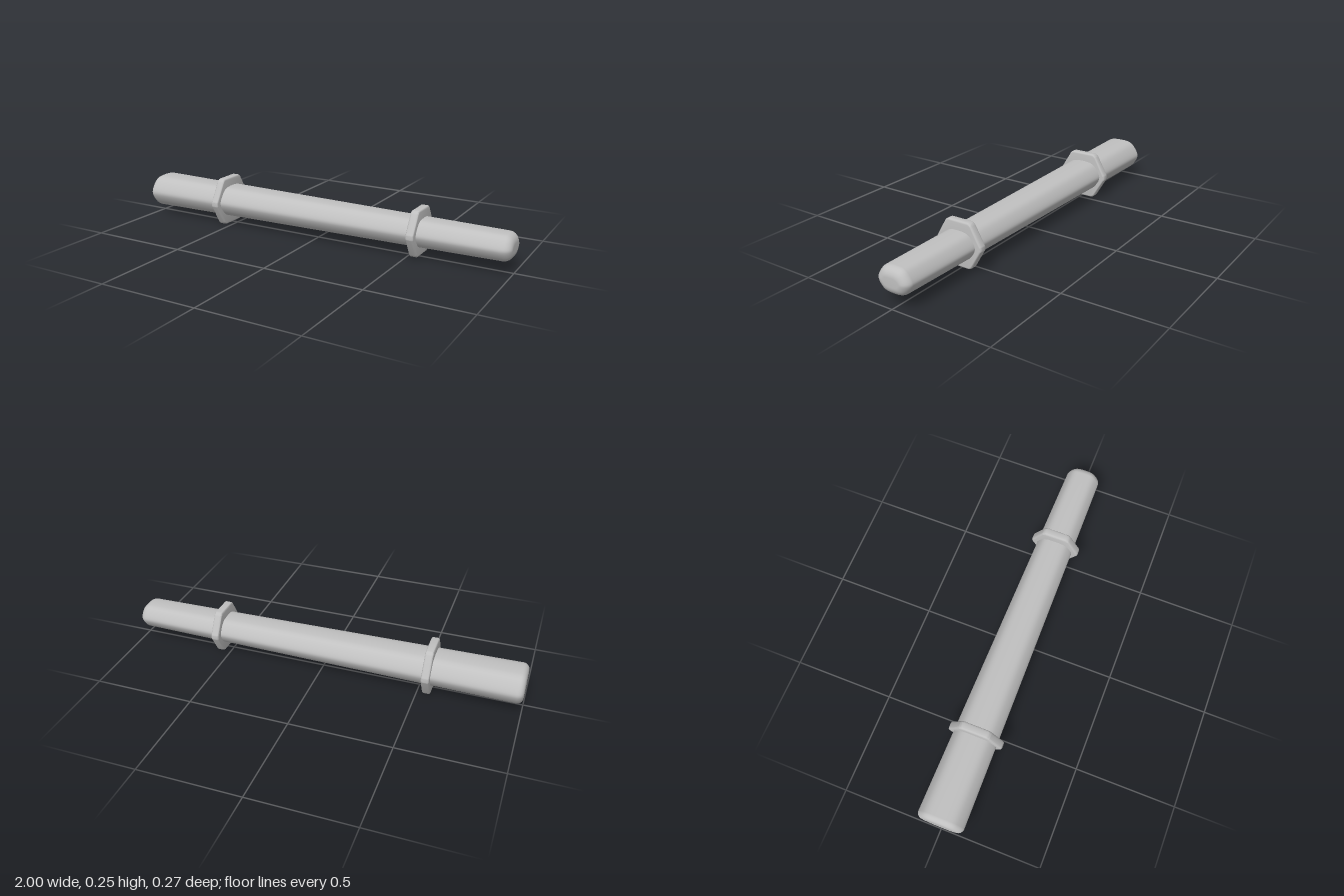
import * as THREE from 'three';
import { toCreasedNormals } from 'three/addons/utils/BufferGeometryUtils.js';

const MID_Y = 0.123;

// Tapered bar: a rounded hexagonal section swept along x, with rounded ends
function barGeometry() {
  const quarter = [[1, 0.13], [0.83, 0.57], [0.62, 0.87], [0.36, 1]];
  const flip = (sz, sy) => quarter.map(([z, y]) => new THREE.Vector3(z * sz, y * sy, 0));
  const outline = [...flip(1, 1), ...flip(-1, 1).reverse(), ...flip(-1, -1), ...flip(1, -1).reverse()];
  const n = 64;
  const section = new THREE.CatmullRomCurve3(outline, true).getPoints(n).slice(0, n);

  // Each station is [x, inset from the full section]
  const stations = [];
  const steps = 8, leftR = 0.03, rightR = 0.042;
  for (let i = 0; i <= steps; i++) {
    const a = (i / steps) * Math.PI / 2;
    stations.push([-1 + leftR * (1 - Math.sin(a)), leftR * (1 - Math.cos(a))]);
  }
  stations.reverse();
  stations.forEach((s, i) => { s[1] = leftR * (1 - Math.cos((1 - i / steps) * Math.PI / 2)); });
  stations.length = 0;
  for (let i = 0; i <= steps; i++) {
    const a = (i / steps) * Math.PI / 2;
    stations.push([-1 + leftR * (1 - Math.cos(a)), leftR * (1 - Math.sin(a))]);
  }
  for (let i = 1; i < 8; i++) stations.push([-0.97 + i * 0.24, 0]);
  for (let i = 0; i <= steps; i++) {
    const a = (i / steps) * Math.PI / 2;
    stations.push([1 - rightR * (1 - Math.sin(a)), rightR * (1 - Math.cos(a))]);
  }

  const pos = [], index = [];
  for (const [x, inset] of stations) {
    const t = (x + 1) / 2;
    const hy = THREE.MathUtils.lerp(0.081, 0.062, t) - inset;
    const hz = THREE.MathUtils.lerp(0.114, 0.086, t) - inset;
    for (const p of section) pos.push(x, MID_Y + p.y * hy, p.x * hz);
  }
  for (let i = 0; i < stations.length - 1; i++) {
    for (let j = 0; j < n; j++) {
      const a = i * n + j, b = i * n + (j + 1) % n;
      index.push(a, a + n, b, b, a + n, b + n);
    }
  }
  // Flat end caps
  const last = (stations.length - 1) * n, c = stations.length * n;
  pos.push(-1, MID_Y, 0, 1, MID_Y, 0);
  for (let j = 0; j < n; j++) {
    const k = (j + 1) % n;
    index.push(c, j, k, c + 1, last + k, last + j);
  }
  const g = new THREE.BufferGeometry();
  g.setAttribute('position', new THREE.Float32BufferAttribute(pos, 3));
  g.setIndex(index);
  g.computeVertexNormals();
  return g;
}

// Hexagonal collar with softened corners and bevelled rims
function collarGeometry(halfHeight, width) {
  const bevel = 0.008;
  const r = (halfHeight - bevel) / Math.cos(Math.PI / 6);
  const corner = (i) => new THREE.Vector2(Math.cos(i * Math.PI / 3) * r, Math.sin(i * Math.PI / 3) * r);
  const shape = new THREE.Shape();
  for (let i = 0; i < 6; i++) {
    const p = corner(i);
    const from = p.clone().lerp(corner(i + 5), 0.1), to = p.clone().lerp(corner(i + 1), 0.1);
    if (i === 0) shape.moveTo(from.x, from.y);
    else shape.lineTo(from.x, from.y);
    shape.quadraticCurveTo(p.x, p.y, to.x, to.y);
  }
  shape.closePath();
  const depth = width - 2 * bevel;
  const g = new THREE.ExtrudeGeometry(shape, {
    depth, bevelEnabled: true, bevelThickness: bevel, bevelSize: bevel, bevelSegments: 3, curveSegments: 5,
  });
  g.translate(0, 0, -depth / 2);
  g.rotateY(Math.PI / 2);
  return toCreasedNormals(g, 0.6);
}

export function createModel() {
  const group = new THREE.Group();
  group.name = 'collaredBar';
  const grey = new THREE.MeshStandardMaterial({ color: 0xc0c0c0 });
  grey.name = 'light grey';

  const add = (name, geometry, x = 0, y = 0) => {
    const mesh = new THREE.Mesh(geometry, grey);
    mesh.name = name;
    mesh.position.set(x, y, 0);
    group.add(mesh);
  };
  add('taperedBar', barGeometry());
  add('largeCollar', collarGeometry(0.123, 0.04), -0.547, MID_Y);
  add('smallCollar', collarGeometry(0.113, 0.04), 0.543, MID_Y + 0.001);
  return group;
}
